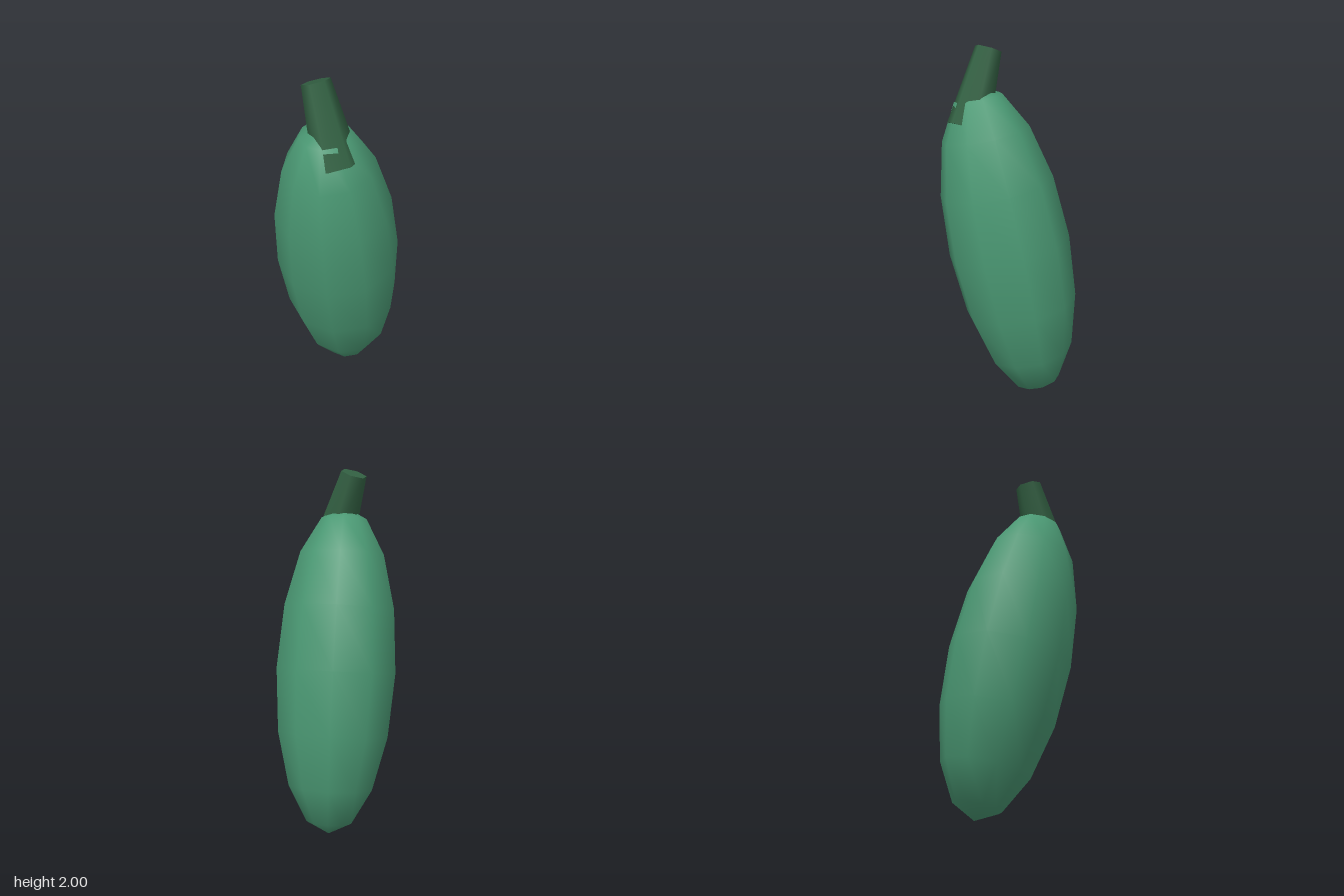
import * as THREE from 'three';

export function createModel() {
  const group = new THREE.Group();
  const skin = new THREE.MeshStandardMaterial({ name: 'skin green', color: 0x4a9873 });
  const stalk = new THREE.MeshStandardMaterial({ name: 'stalk green', color: 0x326042 });

  // Long, tilted fruit body
  const body = new THREE.Mesh(new THREE.SphereGeometry(1, 10, 8), skin);
  body.name = 'fruitBody';
  body.scale.set(0.342, 0.913, 0.342);
  body.rotation.set(0.178, 0, 0.1);
  body.position.set(0, 0.905, 0);
  group.add(body);

  // Tapered six-sided stem, sunk into the body and leaning back
  const bottom = new THREE.Vector3(-0.037, 1.583, 0.213);
  const top = new THREE.Vector3(-0.119, 1.98, 0.081);
  const axis = top.clone().sub(bottom);
  const geometry = new THREE.CylinderGeometry(0.074, 0.12, axis.length(), 6);
  geometry.rotateY(Math.PI / 6);
  const stem = new THREE.Mesh(geometry, stalk);
  stem.name = 'stem';
  stem.position.copy(bottom).add(top).multiplyScalar(0.5);
  stem.quaternion.setFromUnitVectors(new THREE.Vector3(0, 1, 0), axis.normalize());
  group.add(stem);

  return group;
}
